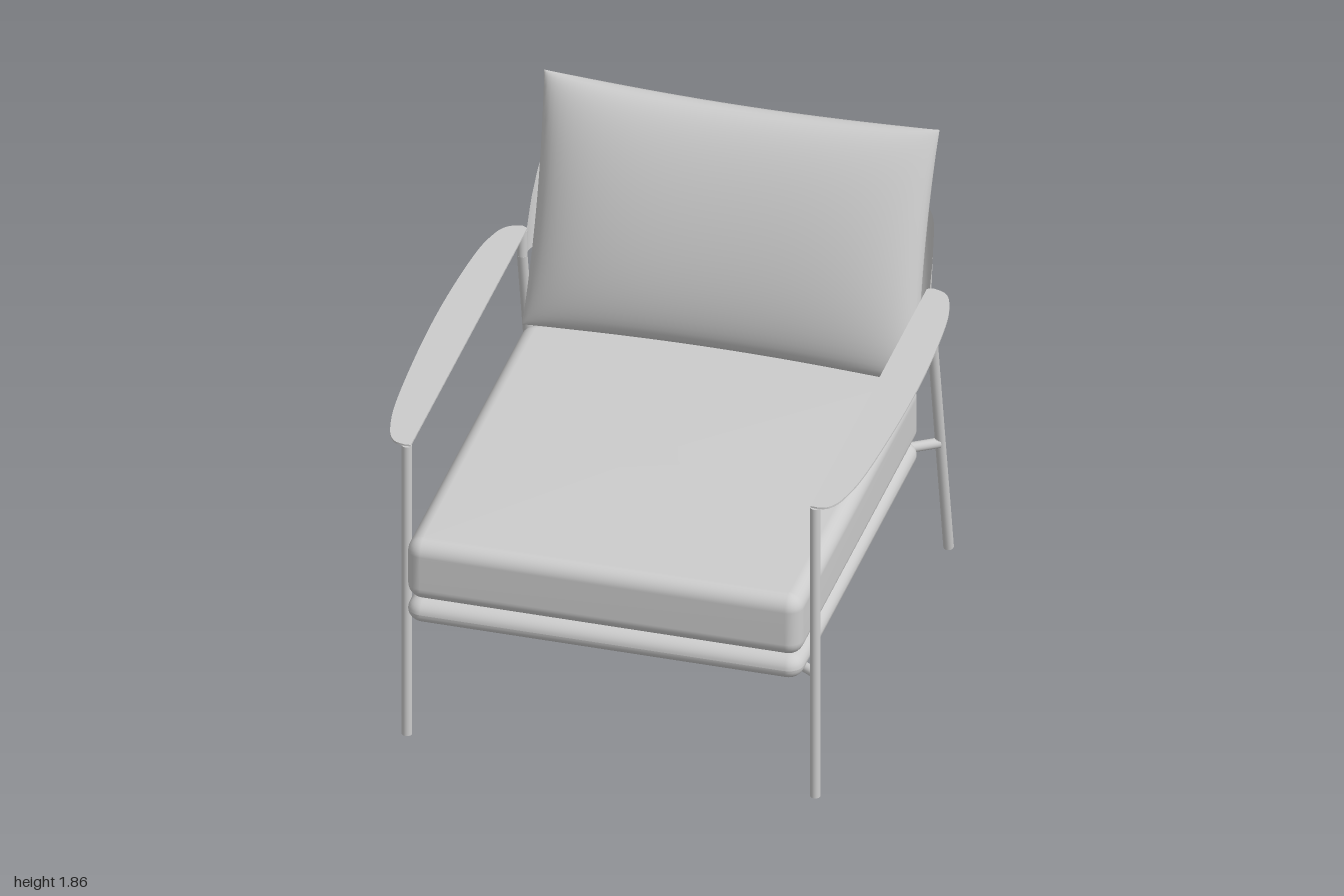
import * as THREE from 'three';

const fabric = new THREE.MeshStandardMaterial({ color: 0xcccccc, side: THREE.DoubleSide });
fabric.name = 'light grey';

// Smooth surface from a rule fn(i, j) -> [x, y, z]; wrap closes it along i
function surface(nu, nv, fn, wrap = false) {
  const pos = [], idx = [], cols = wrap ? nu : nu + 1;
  for (let j = 0; j <= nv; j++) for (let i = 0; i < cols; i++) pos.push(...fn(i, j));
  for (let j = 0; j < nv; j++) for (let i = 0; i < nu; i++) {
    const a = j * cols + i, b = j * cols + (i + 1) % cols, c = b + cols, d = a + cols;
    idx.push(a, b, c, a, c, d);
  }
  const g = new THREE.BufferGeometry();
  g.setAttribute('position', new THREE.Float32BufferAttribute(pos, 3));
  g.setIndex(idx);
  g.computeVertexNormals();
  return g;
}

// Seat plan: rounded corners and a bowed back; each entry is a point and its outward normal
function seatPlan() {
  const plan = [], w = 0.71, front = 0.94, R = 1.87, z0 = -0.72 + R, bow = Math.asin(w / R);
  const back = z0 - R * Math.cos(bow);
  const corner = (x, z, a0, a1) => {
    for (let i = 0; i <= 6; i++) {
      const a = a0 + (a1 - a0) * i / 6;
      plan.push([x, z, Math.sin(a), Math.cos(a)]);
    }
  };
  corner(-w, front, -Math.PI / 2, 0);
  corner(w, front, 0, Math.PI / 2);
  corner(w, back, Math.PI / 2, Math.PI - bow);
  for (let i = 1; i < 16; i++) {
    const a = Math.PI - bow + 2 * bow * i / 16;
    plan.push([R * Math.sin(a), z0 + R * Math.cos(a), Math.sin(a), Math.cos(a)]);
  }
  corner(-w, back, Math.PI + bow, Math.PI * 1.5);
  return plan;
}

// Seat shell with rounded upper and lower edges, open underneath
function seatShell(y0, y1, ry, capped) {
  const plan = seatPlan(), rings = [], r = 0.06;
  for (let i = 0; i <= 8; i++) {
    const a = i / 8 * Math.PI / 2;
    rings.push([r * Math.sin(a), y0 + ry * (1 - Math.cos(a))]);
  }
  for (let i = 0; i <= 8; i++) {
    const a = i / 8 * Math.PI / 2;
    rings.push([r * Math.cos(a), y1 - ry * (1 - Math.sin(a))]);
  }
  const extra = capped ? 1 : 0;
  return surface(plan.length, rings.length - 1 + extra, (i, j) => {
    if (j === rings.length) return [0, y1, 0.1];
    const [x, z, nx, nz] = plan[i], [d, y] = rings[j];
    return [x + nx * d, y, z + nz * d];
  }, true);
}

// One face of the pillow: side = 1 front, -1 back
function pillowFace(side) {
  const nu = 40, nv = 32;
  return surface(nu, nv, (i, j) => {
    const u = -side * Math.cos(Math.PI * i / nu), v = -Math.cos(Math.PI * j / nv);
    const x = u * (0.77 - 0.018 * (1 - v * v));
    const t = v * (0.496 - 0.025 * (1 - u * u));
    const bulge = side * 0.148 * Math.sqrt(Math.max(0, 1 - u ** 4)) * Math.max(0, 1 - v * v) ** 0.45;
    return [x, 1.392 + 0.953 * t + 0.303 * bulge, -0.75 - 0.303 * t + 0.953 * bulge];
  });
}

// Curved back support, lofted between its lower and upper edges
function backBand() {
  const edge = half => new THREE.CatmullRomCurve3([
    ...half.slice(1).reverse().map(([x, y, z]) => new THREE.Vector3(-x, y, z)),
    ...half.map(p => new THREE.Vector3(...p))]);
  const lower = edge([[0, 1.165, -0.88], [0.4, 1.165, -0.86], [0.68, 1.165, -0.81],
    [0.755, 1.165, -0.785], [0.778, 1.165, -0.75], [0.785, 1.165, -0.70]]);
  const upper = edge([[0, 1.575, -1], [0.4, 1.57, -0.965], [0.68, 1.55, -0.90],
    [0.755, 1.52, -0.85], [0.778, 1.41, -0.785], [0.785, 1.25, -0.705]]);
  const n = 60, m = 8;
  return surface(n, m, (i, j) => {
    const a = lower.getPoint(1 - i / n), b = upper.getPoint(1 - i / n);
    return a.lerp(b, j / m).toArray();
  });
}

// Round bar through a list of points, with ball joints at the bends
function rod(name, points, r = 0.02) {
  const g = new THREE.Group();
  g.name = name;
  const pts = points.map(p => new THREE.Vector3(...p));
  for (let i = 0; i < pts.length - 1; i++) {
    const dir = pts[i + 1].clone().sub(pts[i]);
    const bar = new THREE.Mesh(new THREE.CylinderGeometry(r, r, dir.length(), 16), fabric);
    bar.name = name + 'Bar';
    bar.position.copy(pts[i]).addScaledVector(dir, 0.5);
    bar.quaternion.setFromUnitVectors(new THREE.Vector3(0, 1, 0), dir.normalize());
    g.add(bar);
    if (i > 0) {
      const joint = new THREE.Mesh(new THREE.SphereGeometry(r, 16, 10), fabric);
      joint.name = name + 'Joint';
      joint.position.copy(pts[i]);
      g.add(joint);
    }
  }
  return g;
}

// Thin armrest plate: straight inner edge, curved outer edge
function armrest(s) {
  const shape = new THREE.Shape();
  shape.moveTo(s * 0.778, 0.7);
  shape.lineTo(s * 0.778, -0.885);
  shape.lineTo(s * 0.805, -0.887);
  shape.splineThru([[0.85, -0.868], [0.885, -0.79], [0.915, -0.6], [0.935, -0.2], [0.935, 0.15],
    [0.915, 0.48], [0.885, 0.63], [0.85, 0.69], [0.8, 0.71]].map(([x, y]) => new THREE.Vector2(s * x, y)));
  shape.closePath();
  const g = new THREE.ExtrudeGeometry(shape, { depth: 0.008, bevelEnabled: false, curveSegments: 40 });
  g.rotateX(-Math.PI / 2);
  g.translate(0, 1.276, 0);
  return g;
}

export function createModel() {
  const model = new THREE.Group();
  model.name = 'armchair';
  const add = (name, geometry) => {
    const m = new THREE.Mesh(geometry, fabric);
    m.name = name;
    model.add(m);
  };

  // Upholstery
  add('seatCushion', seatShell(0.665, 0.925, 0.06, true));
  add('seatBase', seatShell(0.56, 0.662, 0.051, false));
  add('backCushionFront', pillowFace(1));
  add('backCushionRear', pillowFace(-1));
  add('backSupport', backBand());

  // Frame on both sides
  for (const [s, side] of [[1, 'left'], [-1, 'right']]) {
    const x = s * 0.795, inner = s * 0.62;
    add(side + 'Armrest', armrest(s));
    model.add(rod(side + 'FrontLeg', [[x, 0, 0.877], [x, 1.277, 0.877]]));
    model.add(rod(side + 'RearLeg', [[x, 0.004, -0.935], [x, 1.17, -0.69], [x, 1.277, -0.687]]));
    model.add(rod(side + 'SeatRail', [[x, 0.537, 0.87], [inner, 0.537, 0.76],
      [inner, 0.537, -0.70], [x, 0.537, -0.815]]));
  }
  return model;
}
